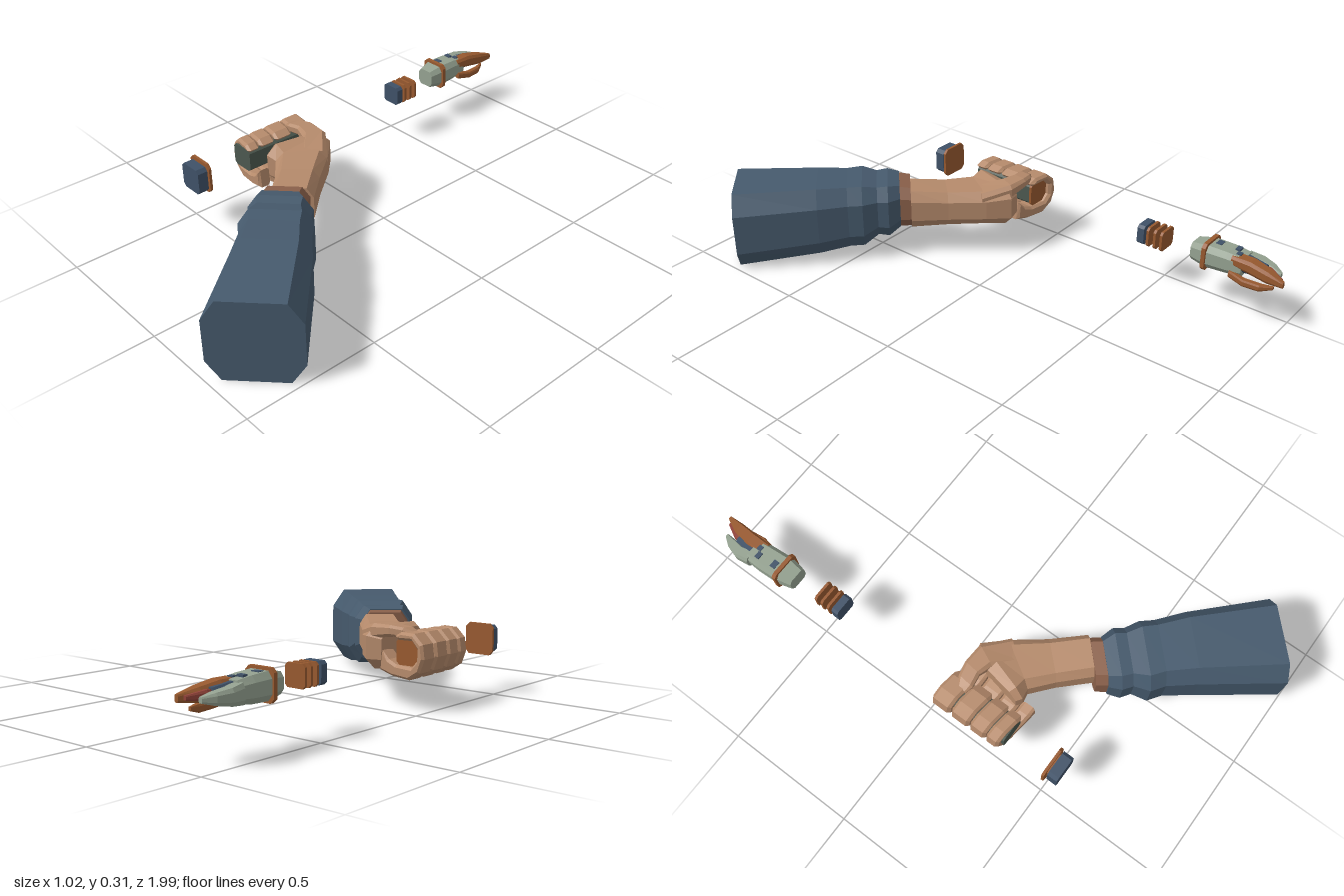
import * as THREE from 'three';

const mat = (name, color) => {
  const m = new THREE.MeshStandardMaterial({ color, flatShading: true });
  m.name = name;
  return m;
};

// Skin of chamfered eight-sided sections, each [x, z, yBottom, yTop, halfWidth, heading in degrees]
function loft(sections, chamfer = 0.31, rise = 0.24) {
  const rings = sections.map(([x, z, y0, y1, w, deg]) => {
    const a = THREE.MathUtils.degToRad(deg), c = 1 - chamfer;
    const outline = [[1, rise], [1, 1 - rise], [c, 1], [-c, 1], [-1, 1 - rise], [-1, rise], [-c, 0], [c, 0]];
    return outline.map(([u, v]) => [x + u * w * Math.cos(a), y0 + v * (y1 - y0), z - u * w * Math.sin(a)]);
  });
  const pos = [];
  const tri = (...p) => p.forEach(q => pos.push(...q));
  for (let r = 0; r + 1 < rings.length; r++) {
    for (let i = 0; i < 8; i++) {
      const j = (i + 1) % 8, A = rings[r], B = rings[r + 1];
      tri(A[i], A[j], B[j]);
      tri(A[i], B[j], B[i]);
    }
  }
  const first = rings[0], last = rings[rings.length - 1];
  for (let i = 1; i < 7; i++) {
    tri(first[0], first[i + 1], first[i]);
    tri(last[0], last[i], last[i + 1]);
  }
  const g = new THREE.BufferGeometry();
  g.setAttribute('position', new THREE.Float32BufferAttribute(pos, 3));
  g.computeVertexNormals();
  return g;
}

export function createModel() {
  const model = new THREE.Group();
  model.name = 'armWithExplodedTool';
  const sleeveBlue = mat('sleeveBlue', 0x465a6d);
  const skin = mat('skin', 0xb58a6b);
  const cuffBrown = mat('cuffBrown', 0x8a604a);
  const copper = mat('copper', 0x97592f);
  const navy = mat('navy', 0x3f5167);
  const sage = mat('sage', 0x94a190);
  const gripGreen = mat('gripGreen', 0x4c584f);
  const red = mat('red', 0x8f4238);

  const add = (name, geometry, material, parent = model) => {
    const m = new THREE.Mesh(geometry, material);
    m.name = name;
    parent.add(m);
    return m;
  };
  const group = name => {
    const g = new THREE.Group();
    g.name = name;
    model.add(g);
    return g;
  };
  // Chamfered block along z
  const block = (name, material, parent, z0, z1, w, h, x = -0.43, y = 0.205) =>
    add(name, loft([[x, z0, y - h, y + h, w, 0], [x, z1, y - h, y + h, w, 0]], 0.25, 0.13), material, parent);

  // Sleeve: t along the arm, u across it, half width, bottom, top
  const heading = 43.8, a = THREE.MathUtils.degToRad(heading);
  const along = rows => rows.map(([t, u, w, y0, y1]) =>
    [t * Math.sin(a) + u * Math.cos(a), t * Math.cos(a) - u * Math.sin(a), y0, y1, w, heading]);
  const arm = group('arm');
  add('sleeve', loft(along([
    [0.285, -0.334, 0.092, 0.115, 0.29],
    [0.33, -0.328, 0.113, 0.087, 0.3],
    [0.371, -0.326, 0.107, 0.094, 0.296],
    [0.427, -0.329, 0.129, 0.055, 0.308],
    [0.483, -0.324, 0.122, 0.053, 0.306],
    [0.597, -0.32, 0.134, 0.035, 0.31],
    [0.909, -0.328, 0.157, 0, 0.305]
  ])), sleeveBlue, arm);
  add('cuff', loft(along([
    [0.243, -0.325, 0.087, 0.12, 0.282],
    [0.3, -0.333, 0.089, 0.115, 0.288]
  ])), cuffBrown, arm);

  // Forearm widening into the palm
  add('forearmAndPalm', loft([
    [-0.322, 0.165, 0.13, 0.27, 0.105, 80],
    [-0.285, 0.165, 0.125, 0.285, 0.125, 73],
    [-0.23, 0.195, 0.132, 0.27, 0.096, 58],
    [-0.145, 0.285, 0.128, 0.266, 0.08, 46],
    [-0.05, 0.385, 0.122, 0.276, 0.077, heading]
  ]), skin, arm);

  // Fingers: a hooked band curling under and around the grip
  const hook = [
    [-0.3, 0.13], [-0.36, 0.115], [-0.44, 0.11], [-0.488, 0.14], [-0.508, 0.19], [-0.5, 0.24], [-0.46, 0.274],
    [-0.4, 0.274], [-0.372, 0.258], [-0.385, 0.245], [-0.45, 0.248], [-0.476, 0.222], [-0.474, 0.18],
    [-0.45, 0.155], [-0.38, 0.157], [-0.342, 0.172], [-0.31, 0.2]
  ].map(p => new THREE.Vector2(...p));
  const hand = group('hand');
  [[0.025, 0.078, 1], [0.108, 0.076, 0.99], [0.188, 0.066, 0.975], [0.257, 0.052, 0.96]].forEach(([z, width, s], i) => {
    const g = new THREE.ExtrudeGeometry(new THREE.Shape(hook), {
      depth: width - 0.02, bevelEnabled: true, bevelThickness: 0.01, bevelSize: 0.009, bevelOffset: -0.009, bevelSegments: 1
    });
    const p = g.attributes.position;
    for (let k = 0; k < p.count; k++) {
      const x = p.getX(k), y = p.getY(k);
      p.setXYZ(k, -0.42 + (x + 0.42) * s, 0.2 + (y - 0.2) * s, p.getZ(k) + z + 0.01 + 0.14 * (x + 0.5));
    }
    g.computeVertexNormals();
    add('finger' + (i + 1), g, skin, hand);
  });
  // Thumb arching over the grip
  add('thumb', loft([
    [-0.425, 0.1, 0.25, 0.272, 0.018, 90],
    [-0.395, 0.094, 0.25, 0.286, 0.032, 84],
    [-0.345, 0.085, 0.252, 0.292, 0.034, 84],
    [-0.28, 0.095, 0.235, 0.292, 0.044, 65],
    [-0.2, 0.165, 0.2, 0.268, 0.05, 52]
  ]), skin, hand);

  // Grip held in the fist
  const grip = group('grip');
  block('gripCore', gripGreen, grip, 0.06, 0.32, 0.048, 0.044);
  block('gripFrontCap', copper, grip, 0.05, 0.06, 0.051, 0.047);

  // Pommel
  const pommel = group('pommel');
  block('pommelPlate', copper, pommel, 0.491, 0.501, 0.058, 0.059, -0.437);
  block('pommelNeck', copper, pommel, 0.5, 0.508, 0.042, 0.042, -0.433);
  block('pommelCap', navy, pommel, 0.506, 0.546, 0.05, 0.05, -0.433);

  // Spacer block and rings
  const spacer = group('spacers');
  block('spacerBlock', navy, spacer, -0.458, -0.43, 0.04, 0.038, -0.426);
  for (const z of [-0.474, -0.503, -0.53]) block('spacerRing', copper, spacer, z - 0.005, z + 0.005, 0.041, 0.039, -0.426);

  // Head of the tool, pointing to the back
  const head = group('toolHead');
  add('headBody', loft([
    [-0.44, -0.642, 0.17, 0.238, 0.038, 180],
    [-0.443, -0.7, 0.16, 0.25, 0.05, 180],
    [-0.448, -0.78, 0.163, 0.247, 0.049, 180],
    [-0.45, -0.84, 0.17, 0.24, 0.045, 180]
  ]), sage, head);
  block('headCollar', copper, head, -0.708, -0.693, 0.057, 0.053, -0.442, 0.206);
  add('headCore', loft([
    [-0.445, -0.83, 0.182, 0.238, 0.032, 180],
    [-0.442, -0.915, 0.19, 0.228, 0.024, 180]
  ]), navy, head);
  add('leftClaw', loft([
    [-0.478, -0.83, 0.17, 0.235, 0.026, 180],
    [-0.488, -0.88, 0.175, 0.228, 0.023, 180],
    [-0.478, -0.93, 0.183, 0.22, 0.018, 180],
    [-0.465, -0.965, 0.192, 0.21, 0.007, 180]
  ]), sage, head);
  add('upperBeak', loft([
    [-0.428, -0.8, 0.205, 0.242, 0.026, 180],
    [-0.428, -0.87, 0.194, 0.243, 0.026, 180],
    [-0.42, -0.94, 0.186, 0.231, 0.022, 180],
    [-0.406, -1, 0.192, 0.215, 0.007, 180]
  ]), copper, head);
  add('redBlade', loft([
    [-0.448, -0.85, 0.188, 0.222, 0.014, 180],
    [-0.446, -0.93, 0.192, 0.224, 0.012, 180],
    [-0.424, -0.985, 0.198, 0.212, 0.006, 180]
  ]), red, head);
  add('lowerClaw', loft([
    [-0.404, -0.8, 0.162, 0.188, 0.01, 180],
    [-0.395, -0.86, 0.152, 0.178, 0.012, 180],
    [-0.402, -0.92, 0.151, 0.176, 0.012, 180],
    [-0.418, -0.962, 0.164, 0.176, 0.005, 180]
  ]), copper, head);
  // Small inlaid panels on top
  for (const [x, z, w, d] of [[-0.462, -0.8, 0.026, 0.018], [-0.455, -0.73, 0.03, 0.022], [-0.437, -0.815, 0.02, 0.018]]) {
    add('topPanel', new THREE.BoxGeometry(w, 0.008, d), navy, head).position.set(x, z < -0.8 ? 0.243 : 0.247, z);
  }
  return model;
}
